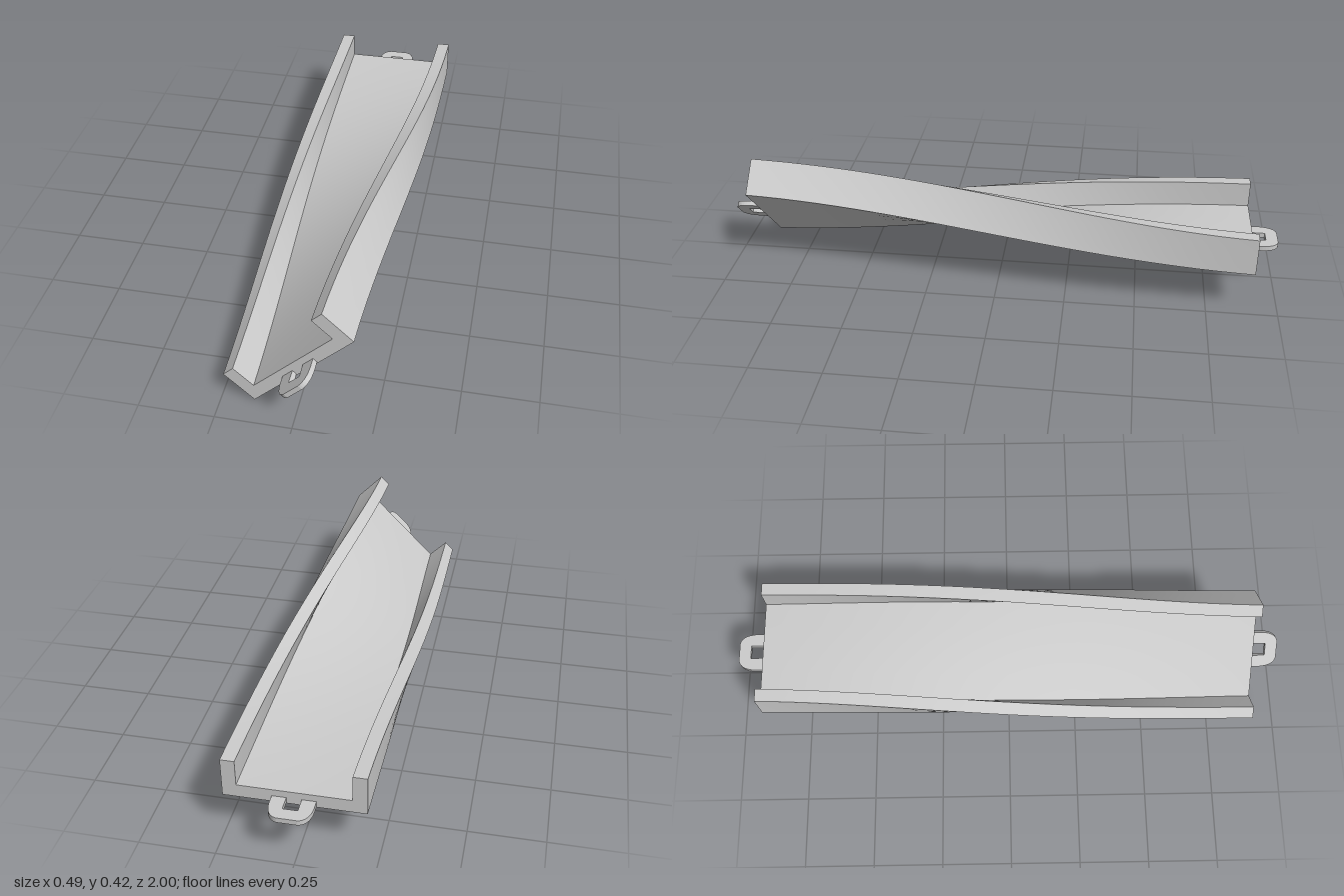
import * as THREE from 'three';
import { mergeGeometries } from 'three/addons/utils/BufferGeometryUtils.js';

const HALF = 0.907;            // half length of the channel
const PIVOT = [0.0175, 0.161]; // twist axis: bottom centre of the section
const TWIST = Math.PI / 4;
const STEPS = 28;

// U section, counter-clockwise seen from the front
const W = 0.2275, H = 0.137, T = 0.046;
const SECTION = [
  [-W, 0], [W, 0], [W, H], [W - T, H],
  [W - T, T], [-W + T, T], [-W + T, H], [-W, H],
];

// Twist angle along the length: eased from level (back) to tilted (front)
const angleAt = (t) => TWIST * (0.3 * t + 0.7 * t * t * (3 - 2 * t));

function place([u, v], t) {
  const a = angleAt(t), c = Math.cos(a), s = Math.sin(a);
  return [PIVOT[0] + u * c - v * s, PIVOT[1] + u * s + v * c, HALF * (2 * t - 1)];
}

// One smooth twisted strip for each side of the section
function strip(a, b) {
  const pos = [], index = [], across = 4;
  for (let i = 0; i <= STEPS; i++) {
    for (let j = 0; j <= across; j++) {
      const k = j / across;
      pos.push(...place([a[0] + (b[0] - a[0]) * k, a[1] + (b[1] - a[1]) * k], i / STEPS));
    }
  }
  const row = across + 1;
  for (let i = 0; i < STEPS; i++) {
    for (let j = 0; j < across; j++) {
      const p = i * row + j;
      index.push(p, p + 1, p + row + 1, p, p + row + 1, p + row);
    }
  }
  const g = new THREE.BufferGeometry();
  g.setAttribute('position', new THREE.Float32BufferAttribute(pos, 3));
  g.setIndex(index);
  g.computeVertexNormals();
  return g;
}

// Flat end of the channel
function cap(t) {
  const g = new THREE.ShapeGeometry(new THREE.Shape(SECTION.map((p) => new THREE.Vector2(...p))));
  g.deleteAttribute('uv');
  if (t === 0) g.rotateY(Math.PI); // symmetric section, so turning it faces it backwards
  g.rotateZ(angleAt(t));
  g.translate(PIVOT[0], PIVOT[1], HALF * (2 * t - 1));
  return g;
}

// Flat rounded loop with a rectangular slot, reaching out along +z
function lugGeometry() {
  const L = 0.093, w = 0.07, h = 0.024;
  const s = new THREE.Shape();
  s.moveTo(-w, 0);
  s.lineTo(-h, 0);
  s.lineTo(-h, -0.05);
  s.lineTo(h, -0.05);
  s.lineTo(h, 0);
  s.lineTo(w, 0);
  s.lineTo(w, -0.035);
  s.quadraticCurveTo(w - 0.004, -L + 0.006, 0.033, -L);
  s.lineTo(-0.033, -L);
  s.quadraticCurveTo(-w + 0.004, -L + 0.006, -w, -0.035);
  s.closePath();
  const g = new THREE.ExtrudeGeometry(s, { depth: 0.018, bevelEnabled: false, curveSegments: 8 });
  g.rotateX(-Math.PI / 2); // shape -y becomes +z, depth becomes +y
  g.translate(0, 0.004, 0);
  return g;
}

export function createModel() {
  const model = new THREE.Group();
  const grey = new THREE.MeshStandardMaterial({ color: 0xcccccc });

  // Twisted channel
  const parts = SECTION.map((p, i) => strip(p, SECTION[(i + 1) % SECTION.length]));
  const channel = new THREE.Mesh(mergeGeometries([...parts, cap(0), cap(1)]), grey);
  channel.name = 'twistedChannel';
  model.add(channel);

  // Connecting loop at each end, lying in the plane of the floor there
  for (const [name, t] of [['frontLoop', 1], ['backLoop', 0]]) {
    const loop = new THREE.Mesh(lugGeometry(), grey);
    loop.name = name;
    loop.position.set(PIVOT[0], PIVOT[1], HALF * (2 * t - 1));
    if (t === 0) loop.rotation.y = Math.PI;
    else loop.rotation.z = TWIST;
    model.add(loop);
  }
  return model;
}
